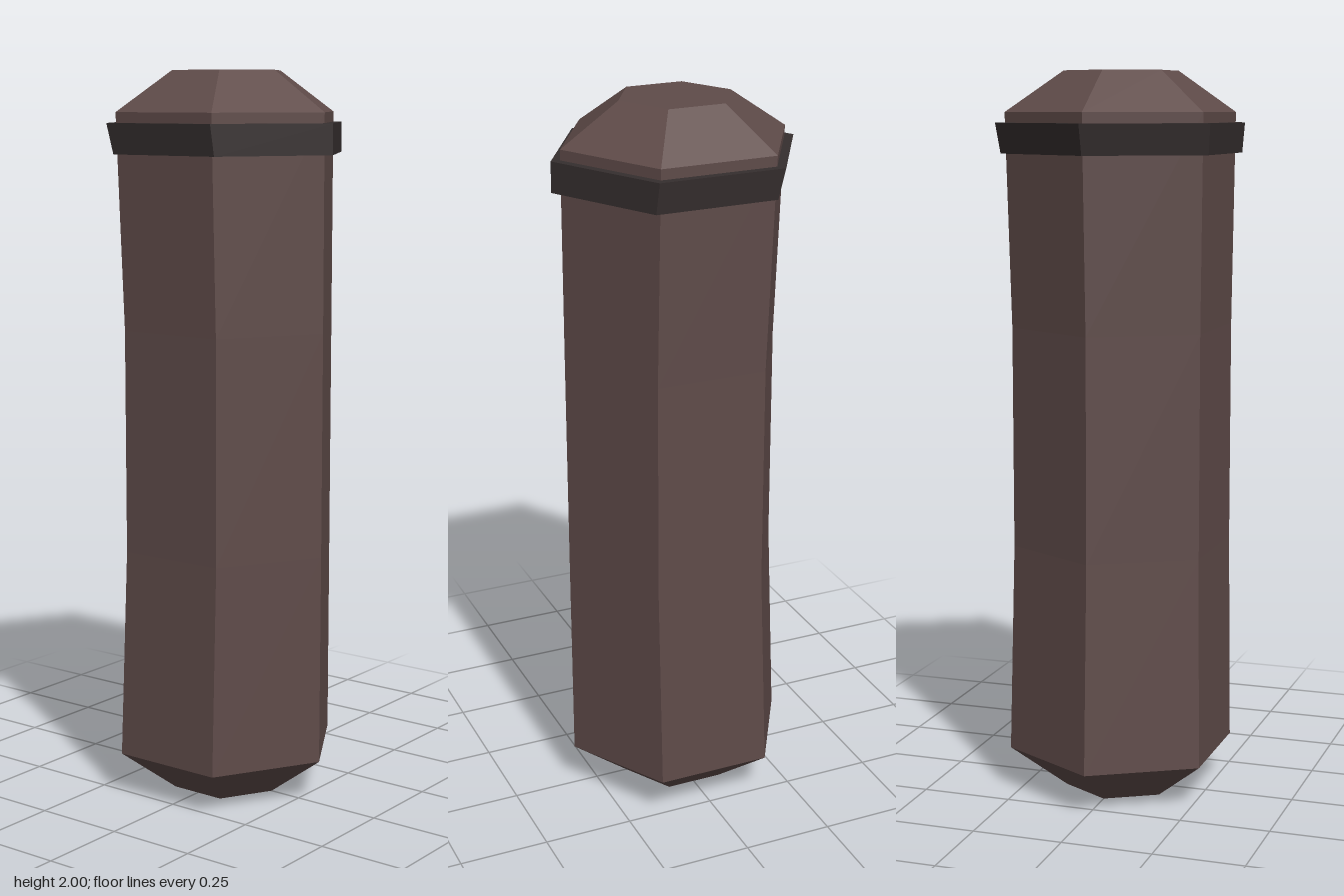
import * as THREE from 'three';

// Six-sided column lofted through rings of [y, radius, z of centre], bottom to top
function hexLoft(rings) {
  const n = rings.length - 1;
  const geo = new THREE.CylinderGeometry(1, 1, n, 6, n);
  const p = geo.attributes.position;
  for (let i = 0; i < p.count; i++) {
    const [y, r, cz] = rings[Math.round(p.getY(i) + n / 2)];
    p.setXYZ(i, p.getX(i) * r, y, p.getZ(i) * r + cz);
  }
  const flat = geo.toNonIndexed();
  flat.computeVertexNormals();
  return flat;
}

function material(name, color) {
  const m = new THREE.MeshStandardMaterial({ color, flatShading: true });
  m.name = name;
  return m;
}

export function createModel() {
  const group = new THREE.Group();
  group.name = 'gripHandle';
  const brown = material('darkBrown', 0x5f4b49);
  const black = material('bandCharcoal', 0x352e2e);

  const add = (name, geo, mat) => {
    const mesh = new THREE.Mesh(geo, mat);
    mesh.name = name;
    group.add(mesh);
  };

  // Grip: bevelled ends, with the back slightly hollowed at mid height
  add('grip', hexLoft([
    [0, 0.158, -0.001],
    [0.12, 0.319, -0.001],
    [0.7, 0.308, 0.011],
    [1.31, 0.308, 0.011],
    [1.89, 0.319, -0.001],
    [2, 0.158, -0.001],
  ]), brown);

  // Collar band near the top, flaring towards the back
  add('collarBand', hexLoft([
    [1.78, 0.335, 0.01],
    [1.862, 0.345, -0.001],
  ]), black);

  return group;
}
